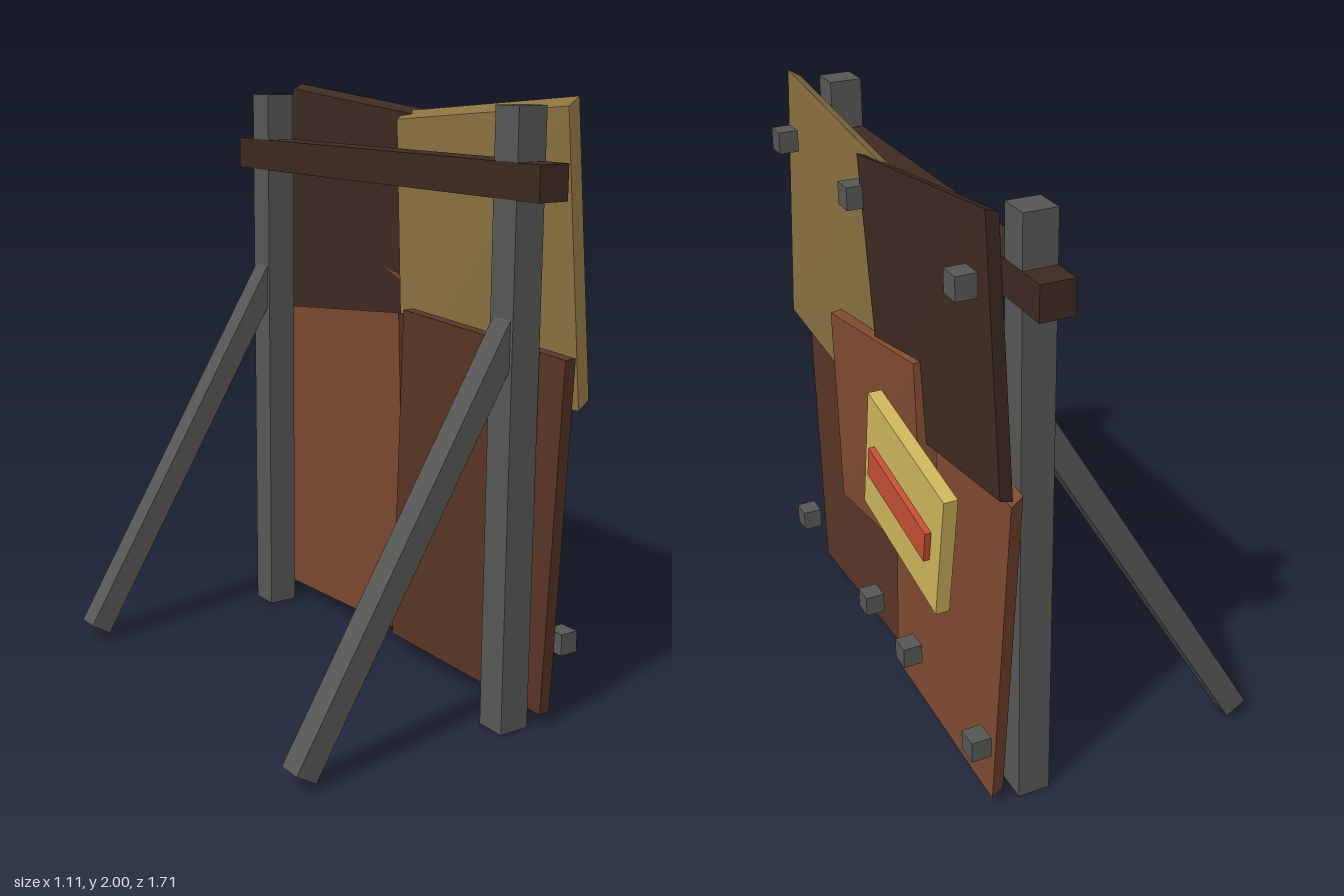
import * as THREE from 'three';

const mat = (color) => new THREE.MeshStandardMaterial({ color, flatShading: true });
const iron = mat(0x575755);
const darkWood = mat(0x3e2a21);

export function createModel() {
  const model = new THREE.Group();

  const add = (name, geometry, material, x = 0, y = 0, z = 0) => {
    const mesh = new THREE.Mesh(geometry, material);
    mesh.name = name;
    mesh.position.set(x, y, z);
    model.add(mesh);
    return mesh;
  };

  // Crooked board: four front corners [x, y, z] (top left, top right,
  // bottom right, bottom left) and the offset to its back face.
  const board = (name, material, corners, back) => {
    const geo = new THREE.BoxGeometry(1, 1, 1);
    const pos = geo.attributes.position;
    for (let i = 0; i < pos.count; i++) {
      const top = pos.getY(i) > 0, left = pos.getZ(i) > 0;
      const c = corners[top ? (left ? 0 : 1) : (left ? 3 : 2)];
      const k = pos.getX(i) > 0 ? 0 : 1;
      pos.setXYZ(i, c[0] + k * back[0], c[1] + k * back[1], c[2] + k * back[2]);
    }
    geo.computeVertexNormals();
    return add(name, geo, material);
  };

  // Posts with slanted braces behind them
  const foot = new THREE.Vector2(-0.52, 0.045), head = new THREE.Vector2(0.26, 1.347);
  const run = head.clone().sub(foot);
  for (const side of [1, -1]) {
    add('post', new THREE.BoxGeometry(0.108, 1.965, 0.106), iron, 0.26, 0.9825, side * 0.697);
    const brace = add('brace', new THREE.BoxGeometry(0.08, run.length(), 0.082), iron,
      (foot.x + head.x) / 2, (foot.y + head.y) / 2, side * 0.698);
    brace.rotation.z = -Math.atan2(run.x, run.y);
  }
  add('crossbeam', new THREE.BoxGeometry(0.11, 0.11, 1.7), darkWood, 0.26, 1.747, 0);

  // Large boards
  board('lowerLeftBoard', mat(0x5a3627),
    [[0.37, 1.22, 0.85], [0.36, 1.26, 0.05], [0.365, 0.07, 0], [0.38, 0.05, 0.78]], [-0.045, 0, 0.005]);
  board('lowerRightBoard', mat(0x7e4a30),
    [[0.385, 1.23, -0.025], [0.39, 1.145, -0.84], [0.41, 0.035, -0.755], [0.41, 0.06, 0]], [-0.05, 0.01, 0.025]);
  board('upperLeftBoard', mat(0x8b7241),
    [[0.415, 1.99, 0.775], [0.44, 1.92, -0.11], [0.43, 1.01, -0.05], [0.43, 1.085, 0.85]], [-0.045, -0.028, 0.005]);
  board('upperRightBoard', darkWood,
    [[0.465, 1.92, 0.035], [0.43, 2.0, -0.765], [0.425, 1.175, -0.84], [0.445, 1.09, -0.035]], [-0.045, -0.018, 0.01]);

  // Patch, plaque and stripe
  board('patchBoard', mat(0x7e4a30),
    [[0.47, 1.285, 0.33], [0.46, 1.385, -0.34], [0.475, 0.71, -0.41], [0.495, 0.645, 0.23]], [-0.06, 0.01, 0]);
  board('plaque', mat(0xcfb75c),
    [[0.535, 1.222, -0.152], [0.535, 1.126, -0.707], [0.535, 0.7, -0.632], [0.535, 0.797, -0.077]], [-0.045, 0, 0]);
  board('stripe', mat(0xc65036),
    [[0.555, 1.05, -0.187], [0.555, 0.977, -0.614], [0.555, 0.873, -0.596], [0.555, 0.946, -0.169]], [-0.03, 0, 0]);

  // Square bolts: upper and lower rows
  const bolt = new THREE.BoxGeometry(0.066, 0.072, 0.072);
  for (const z of [0.655, 0.045, -0.72]) add('upperBolt', bolt, iron, 0.48, 1.79, z);
  for (const z of [0.742, 0.11, -0.22, -0.742]) add('lowerBolt', bolt, iron, 0.457, 0.265, z);

  return model;
}
